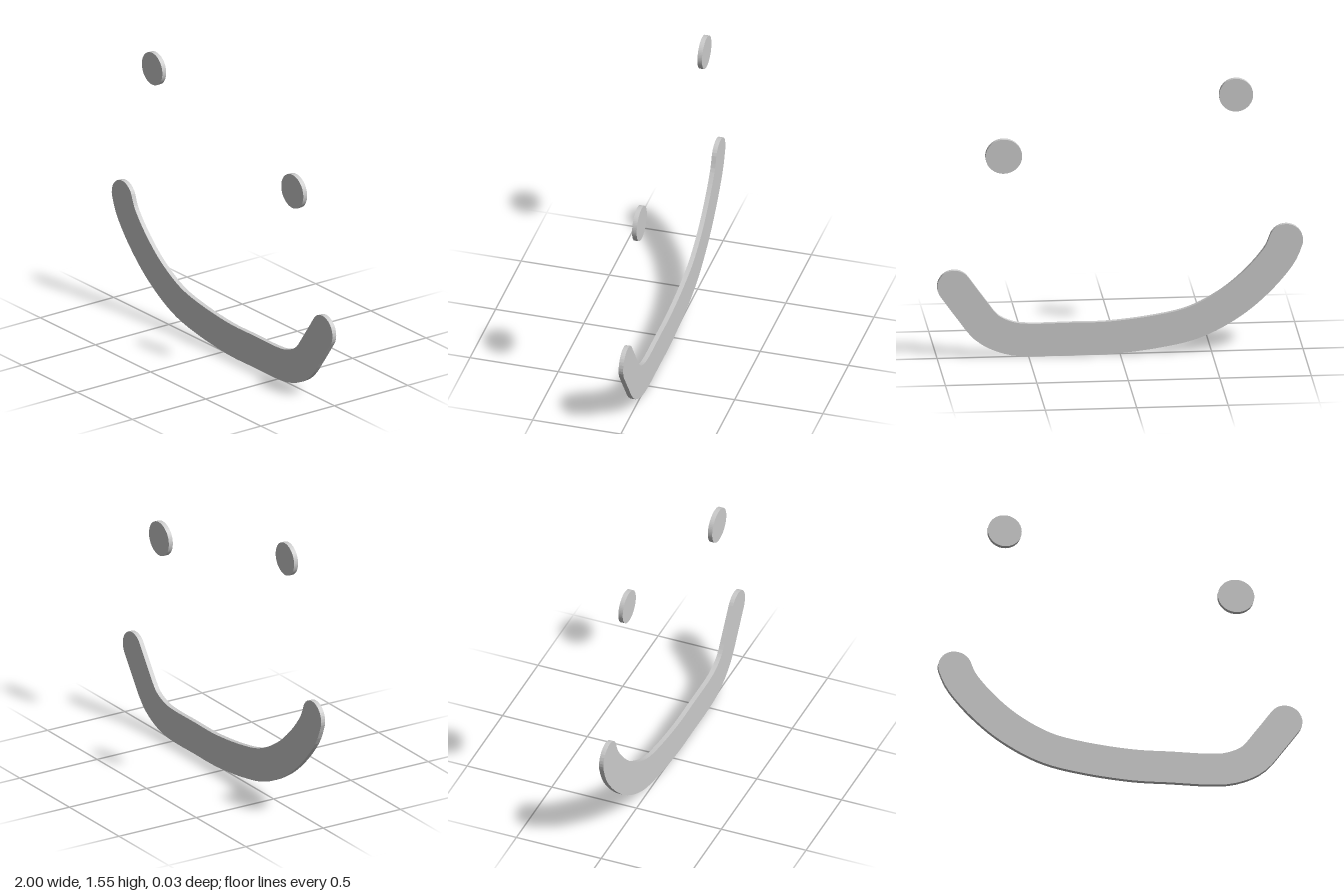
import * as THREE from 'three';

const DEPTH = 0.026;
const material = new THREE.MeshStandardMaterial({ color: 0xcccccc, flatShading: true });

// Flat plate cut from a shape, centred on z = 0
function plate(name, shape) {
  const geometry = new THREE.ExtrudeGeometry(shape, { depth: DEPTH, bevelEnabled: false, curveSegments: 32 });
  geometry.translate(0, 0, -DEPTH / 2);
  const mesh = new THREE.Mesh(geometry, material);
  mesh.name = name;
  return mesh;
}

// Outline of a constant-width stroke with round ends along a curve
function strokeShape(curve, radius, steps = 60, capSteps = 16) {
  const right = [], left = [];
  for (let i = 0; i <= steps; i++) {
    const p = curve.getPointAt(i / steps), t = curve.getTangentAt(i / steps);
    right.push(new THREE.Vector2(p.x + t.y * radius, p.y - t.x * radius));
    left.push(new THREE.Vector2(p.x - t.y * radius, p.y + t.x * radius));
  }
  const cap = (u, direction) => {
    const p = curve.getPointAt(u), t = curve.getTangentAt(u);
    const start = Math.atan2(t.y, t.x) - direction * Math.PI / 2;
    return Array.from({ length: capSteps - 1 }, (_, i) => {
      const a = start + Math.PI * (i + 1) / capSteps;
      return new THREE.Vector2(p.x + Math.cos(a) * radius, p.y + Math.sin(a) * radius);
    });
  };
  return new THREE.Shape([...right, ...cap(1, 1), ...left.reverse(), ...cap(0, -1)]);
}

function eyeShape(x, y, rx, ry) {
  const shape = new THREE.Shape();
  shape.absellipse(x, y, rx, ry, 0, Math.PI * 2);
  return shape;
}

export function createModel() {
  const group = new THREE.Group();
  group.name = 'smilingFace';

  // Lopsided smile
  const smile = new THREE.SplineCurve([
    [-0.907, 0.622], [-0.865, 0.53], [-0.75, 0.395], [-0.6, 0.27], [-0.41, 0.17], [-0.2, 0.122],
    [0.06, 0.094], [0.28, 0.093], [0.5, 0.093], [0.62, 0.112], [0.73, 0.17], [0.82, 0.285], [0.907, 0.407],
  ].map(([x, y]) => new THREE.Vector2(x, y)));
  group.add(plate('mouth', strokeShape(smile, 0.093)));

  // Eyes at different heights
  group.add(plate('rightEye', eyeShape(-0.634, 1.457, 0.093, 0.093)));
  group.add(plate('leftEye', eyeShape(0.636, 1.142, 0.1, 0.097)));

  return group;
}
